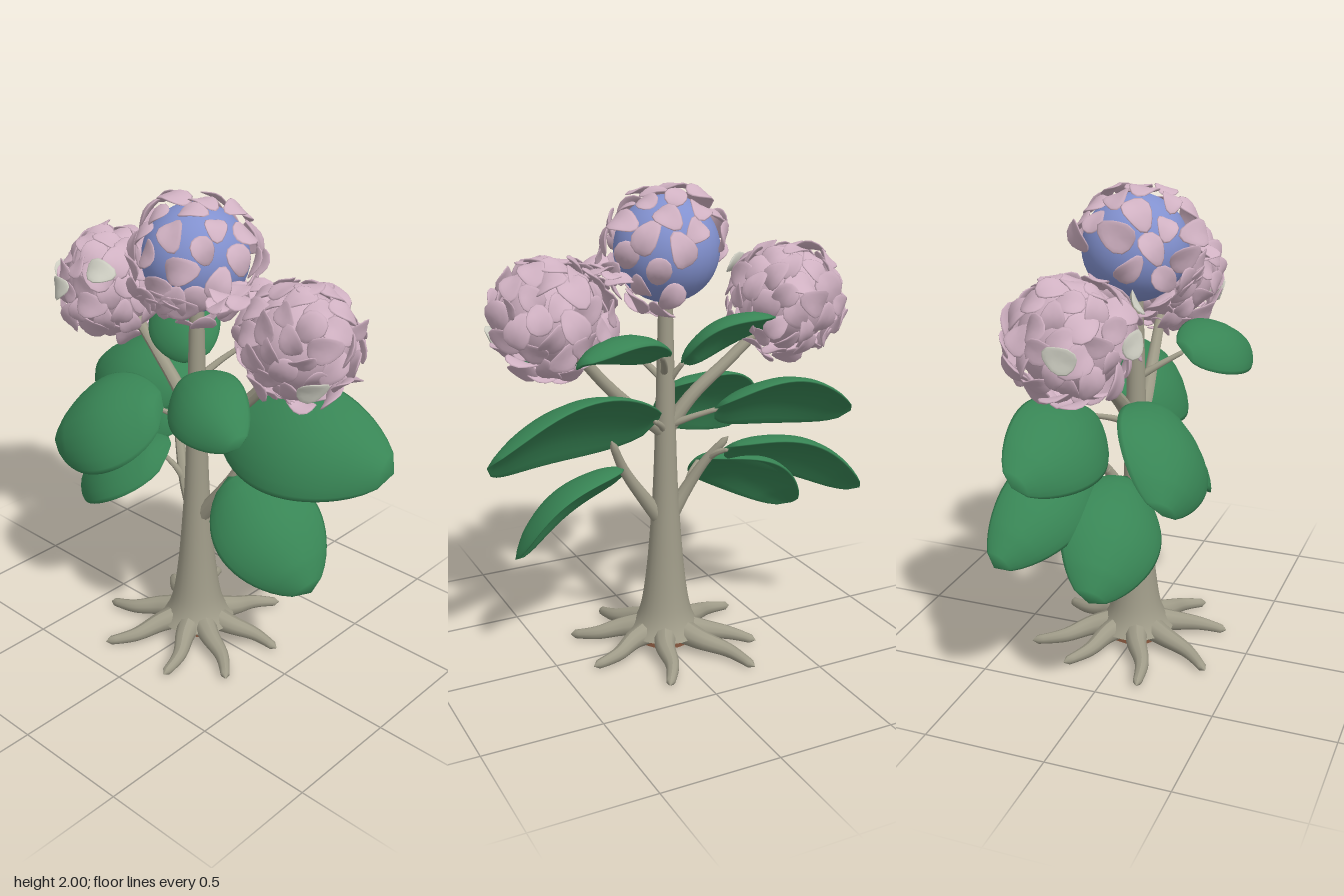
import * as THREE from 'three';
import { mergeGeometries, mergeVertices } from 'three/addons/utils/BufferGeometryUtils.js';
import { ParametricGeometry } from 'three/addons/geometries/ParametricGeometry.js';

const mat = (name, color) => {
  const m = new THREE.MeshStandardMaterial({ color });
  m.name = name;
  return m;
};
const V = (p) => new THREE.Vector3(...p);

export function createModel() {
  const bark = mat('bark', 0x9f9b88);
  const soil = mat('soil brown', 0x744a34);
  const green = mat('leaf green', 0x388555);
  const pink = mat('petal pink', 0xd0b1c2);
  const pale = mat('pale petal', 0xd2d2c6);
  const blue = mat('core blue', 0x8291cf);

  const root = new THREE.Group();
  root.name = 'floweringShrub';
  const add = (name, geometry, material) => {
    const mesh = new THREE.Mesh(geometry, material);
    mesh.name = name;
    root.add(mesh);
    return mesh;
  };

  // Seeded random numbers
  let seed = 7;
  const rand = (a, b) => {
    seed = (seed * 16807) % 2147483647;
    return a + (b - a) * (seed / 2147483647);
  };

  // Tapered, closed-tip tube through a few points
  const limb = (name, pts, r0, r1) => {
    const curve = new THREE.CatmullRomCurve3(pts.map(V));
    const seg = 16, sides = 10;
    const geo = new THREE.TubeGeometry(curve, seg, 1, sides);
    const pos = geo.attributes.position, v = new THREE.Vector3();
    for (let i = 0; i <= seg; i++) {
      const c = curve.getPointAt(i / seg);
      const r = i === seg ? 0.001 : r0 + (r1 - r0) * Math.pow(i / seg, 0.75);
      for (let j = 0; j <= sides; j++) {
        const k = i * (sides + 1) + j;
        v.fromBufferAttribute(pos, k).sub(c).multiplyScalar(r).add(c);
        pos.setXYZ(k, v.x, v.y, v.z);
      }
    }
    geo.computeVertexNormals();
    add(name, geo, bark);
  };

  // Trunk
  const profile = [[0.165, 0.07], [0.13, 0.12], [0.104, 0.2], [0.082, 0.36], [0.065, 0.56],
    [0.053, 0.75], [0.044, 1.0], [0.036, 1.3], [0.028, 1.6]];
  add('trunk', new THREE.LatheGeometry(
    new THREE.SplineCurve(profile.map((p) => new THREE.Vector2(...p))).getPoints(32), 20), bark)
    .position.x = -0.015;

  // Spreading roots and the soil plug between them
  const rootTips = [[0.35, 0.21], [0.37, -0.1], [0.14, 0.37], [-0.21, 0.38], [-0.42, 0.15],
    [-0.36, -0.2], [-0.24, -0.4], [0.15, -0.38]];
  rootTips.forEach(([x, z], i) => limb('root' + (i + 1), [
    [x * 0.15 - 0.01, 0.085, z * 0.15], [x * 0.42, 0.068, z * 0.42],
    [x * 0.7 + z * 0.05, 0.042, z * 0.7 - x * 0.05], [x, 0.018, z]], 0.062, 0.017));
  add('soilPlug', new THREE.CylinderGeometry(0.06, 0.12, 0.06, 16), soil).position.set(-0.015, 0.055, 0);

  // Branches
  limb('lowerLeftBranch', [[-0.015, 0.56, 0], [0.08, 0.69, 0], [0.18, 0.84, -0.01], [0.25, 0.99, -0.04]], 0.04, 0.015);
  limb('lowerRightBranch', [[-0.015, 0.56, 0], [-0.1, 0.71, -0.02], [-0.17, 0.84, -0.06], [-0.25, 0.96, -0.12]], 0.04, 0.015);
  limb('upperLeftBranch', [[-0.01, 0.98, 0], [0.09, 1.06, 0], [0.25, 1.21, -0.02], [0.47, 1.47, -0.04]], 0.035, 0.02);
  limb('upperRightBranch', [[-0.015, 0.98, 0], [-0.13, 1.13, -0.02], [-0.28, 1.26, -0.04], [-0.52, 1.47, -0.06]], 0.035, 0.02);

  // Leaf: closed cross-sections swept from base to tip, domed upward
  const leaf = (name, base, tip, normal, half) => {
    const b = V(base), along = V(tip).sub(b), len = along.length();
    const l = along.clone().normalize();
    const n = V(normal).addScaledVector(l, -V(normal).dot(l)).normalize();
    const s = n.clone().cross(l);
    const geo = new ParametricGeometry((u, t, out) => {
      const a = u * Math.PI * 2, c = Math.cos(a);
      const w = half * Math.pow(Math.sin(Math.PI * Math.pow(t, 0.92)), 0.6) + 0.001;
      const h = 0.025 * Math.sin(a) * Math.min(1, w / half * 1.6)
        - 0.32 * w * c * c + 0.15 * len * Math.sin(Math.PI * t);
      out.copy(b).addScaledVector(l, t * len).addScaledVector(s, w * c).addScaledVector(n, h);
    }, 20, 20);
    add(name, geo, green);
  };

  // name, base, tip, facing, half width, stalk start
  const leaves = [
    ['backRightTopLeaf', [-0.06, 1.28, -0.05], [-0.39, 1.48, -0.24], [0.2, 0.75, 0.6], 0.155, [-0.015, 1.17, 0]],
    ['backLeftTopLeaf', [0.07, 1.35, -0.16], [0.5, 1.41, -0.34], [0, 0.88, 0.42], 0.15, [-0.01, 1.23, 0]],
    ['frontLeftTopLeaf', [0.07, 1.31, 0.17], [0.51, 1.22, 0.33], [0, 0.78, 0.62], 0.16, [-0.01, 1.2, 0]],
    ['largeLeftLeaf', [0.05, 1.06, -0.07], [0.83, 1.02, -0.21], [0.1, 0.7, 0.66], 0.255, [-0.01, 0.97, 0]],
    ['lowerLeftLeaf', [0.17, 0.85, 0], [0.65, 0.51, 0.04], [0.33, 0.72, 0.52], 0.225, [0.1, 0.72, 0]],
    ['backRightLeaf', [-0.18, 1.09, -0.12], [-0.82, 1.01, -0.18], [-0.1, 0.7, 0.62], 0.205, [-0.015, 1.0, 0]],
    ['frontRightLeaf', [-0.08, 1.12, 0.13], [-0.57, 0.87, 0.31], [-0.2, 0.6, 0.76], 0.235, [-0.015, 1.0, 0]],
    ['middleRightLeaf', [-0.22, 0.92, -0.14], [-0.83, 0.68, -0.26], [-0.25, 0.75, 0.55], 0.175, [-0.18, 0.85, -0.06]],
    ['lowerRightLeaf', [-0.17, 0.83, 0.02], [-0.69, 0.52, 0.06], [-0.33, 0.72, 0.52], 0.21, [-0.1, 0.71, -0.02]],
  ];
  for (const [name, base, tip, facing, half, from] of leaves) {
    leaf(name, base, tip, facing, half);
    const mid = from.map((v, i) => v * 0.45 + base[i] * 0.55);
    const end = base.map((v, i) => v + (tip[i] - v) * 0.03);
    limb(name + 'Stalk', [from, mid, end], 0.018, 0.01);
  }

  // One rounded, gently warped petal facing +z
  let petal = new THREE.SphereGeometry(1, 14, 8).rotateX(Math.PI / 2);
  petal.deleteAttribute('uv');
  petal.deleteAttribute('normal');
  petal = mergeVertices(petal);
  const pp = petal.attributes.position;
  for (let i = 0; i < pp.count; i++) {
    const x = pp.getX(i), y = pp.getY(i), r = Math.hypot(x, y);
    const k = 1 + 0.09 * r * Math.cos(3 * Math.atan2(y, x));
    pp.setXYZ(i, x * k, y * k * 0.78, pp.getZ(i) * 0.13 - 0.22 * x * x + 0.15 * y * y);
  }
  petal.computeVertexNormals();

  const Z = new THREE.Vector3(0, 0, 1);
  const placePetal = (center, dir, radius, size, tilt) => {
    const face = dir.clone().add(V([rand(-tilt, tilt), rand(-tilt, tilt), rand(-tilt, tilt)])).normalize();
    const q = new THREE.Quaternion().setFromUnitVectors(Z, face)
      .multiply(new THREE.Quaternion().setFromAxisAngle(Z, rand(0, 6.28)));
    const at = V(center).addScaledVector(dir, radius);
    return petal.clone().applyMatrix4(new THREE.Matrix4().compose(at, q, V([size, size, size])));
  };

  // Flower head: petals spread evenly over a slightly flat-topped sphere, filtered by direction
  const head = (name, center, count, r, size, tilt, keep) => {
    const geos = [];
    for (let i = 0; i < count; i++) {
      const y = 1 - (2 * (i + 0.5)) / count, a = i * 2.39996, h = Math.sqrt(1 - y * y);
      const d = V([h * Math.cos(a), y, h * Math.sin(a)]);
      const radius = r * (1 - 0.07 * Math.max(0, y)) + rand(-0.015, 0.015);
      if (keep(d)) geos.push(placePetal(center, d, radius, size * rand(0.8, 1.15), tilt));
    }
    add(name, mergeGeometries(geos), pink);
  };
  const core = (name, center, r, material) =>
    add(name, new THREE.SphereGeometry(r, 28, 20), material).position.set(...center);

  const right = [-0.55, 1.51, -0.05], left = [0.485, 1.525, -0.03], middle = [-0.02, 1.745, 0];
  core('rightHeadCore', right, 0.2, pink);
  head('rightHeadPetals', right, 80, 0.234, 0.068, 0.42, () => true);
  core('leftHeadCore', left, 0.19, pink);
  head('leftHeadPetals', left, 76, 0.228, 0.068, 0.47, () => true);

  // Middle head: blue core, bare toward the lower back right
  const bare = V([-0.6, -0.65, -0.47]);
  core('middleHeadCore', middle, 0.214, blue);
  head('middleHeadPetals', middle, 54, 0.258, 0.067, 0.36, (d) => d.dot(bare) < 0.62);

  // Petals hanging below the front of the middle head
  const skirt = [];
  for (let i = 0; i < 8; i++) {
    const d = V([-0.3 + 0.11 * i, -0.36 - 0.13 * (i % 2), 0.8]).normalize();
    skirt.push(placePetal(middle, d, 0.27, 0.07, 0.25));
  }
  add('middleHeadSkirt', mergeGeometries(skirt), pink);

  // Petals bridging the middle and left heads
  const bridge = [];
  for (let i = 0; i < 11; i++) {
    bridge.push(placePetal([0.23 + 0.025 * (i % 4), 1.66 + 0.015 * (i % 3), -0.1 + 0.03 * i],
      V([0, 1, 0]), 0, 0.06, 0.6));
  }
  add('bridgePetals', mergeGeometries(bridge), pink);

  // Pale petals
  const paleSpots = [[right, [-0.2, 0.08, 1]], [right, [0.5, 0.45, 0.75]], [right, [-1, 0, 0.25]], [left, [0.8, -0.4, 0.65]]];
  add('palePetals', mergeGeometries(paleSpots.map(([c, d]) =>
    placePetal(c, V(d).normalize(), 0.268, 0.064, 0.1))), pale);

  return root;
}
